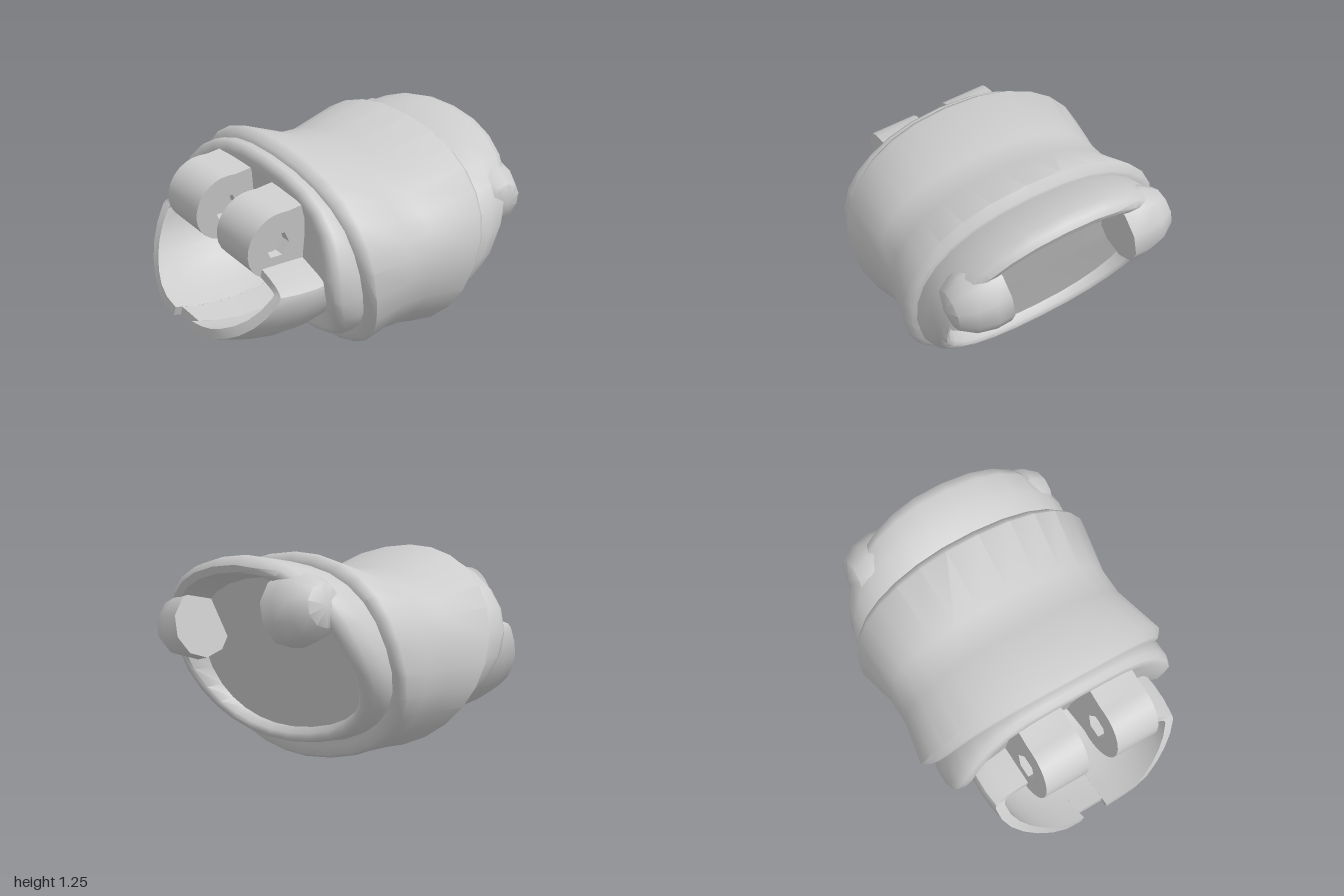
import * as THREE from 'three';
import { toCreasedNormals } from 'three/addons/utils/BufferGeometryUtils.js';

const material = new THREE.MeshStandardMaterial({ color: 0xcccccc, side: THREE.DoubleSide });

function addMesh(parent, name, geometry) {
  const mesh = new THREE.Mesh(geometry, material);
  mesh.name = name;
  parent.add(mesh);
  return mesh;
}

// Skin a row of closed loops and fan-cap both ends.
function loft(rings, crease) {
  const n = rings[0].length;
  const points = rings.flat();
  const index = [];
  for (let i = 0; i < rings.length - 1; i++) {
    for (let j = 0; j < n; j++) {
      const a = i * n + j, b = i * n + (j + 1) % n;
      index.push(a, a + n, b, b, a + n, b + n);
    }
  }
  [0, rings.length - 1].forEach((r, end) => {
    const centre = rings[r].reduce((s, p) => s.add(p), new THREE.Vector3()).divideScalar(n);
    const c = points.push(centre) - 1;
    for (let j = 0; j < n; j++) {
      const a = r * n + j, b = r * n + (j + 1) % n;
      if (end) index.push(c, b, a);
      else index.push(c, a, b);
    }
  });
  const g = new THREE.BufferGeometry().setFromPoints(points);
  g.setIndex(index);
  return toCreasedNormals(g, crease);
}

// Slanted oval ring: x at top and bottom, height above and below centre,
// half width, and how far the middle bows along x.
function ovalRing([xTop, xBottom, up, down, width, bow]) {
  const ring = [];
  for (let j = 0; j < 28; j++) {
    const a = j / 28 * Math.PI * 2;
    const round = v => Math.sign(v) * Math.pow(Math.abs(v), 0.89);
    const s = round(Math.sin(a)), c = round(Math.cos(a));
    ring.push(new THREE.Vector3(
      THREE.MathUtils.lerp(xBottom, xTop, (s + 1) / 2) + bow * (1 - s * s) ** 2,
      s * (s > 0 ? up : down), c * width));
  }
  return ring;
}

// Trough whose walls fold in over the top towards the lugs,
// with a slanted mouth and a shallow notch at its tip.
function troughGeometry() {
  const edge = Math.asin(0.17), fold = 0.95;
  const span = Math.PI / 2 + fold - edge;
  const angles = [];
  for (let i = 0; i <= 12; i++) angles.push([Math.PI + fold - i / 12 * span, 0]);
  angles.push([Math.PI / 2 + edge, 0.05], [Math.PI / 2 - edge, 0.05]);
  for (let i = 0; i <= 12; i++) angles.push([Math.PI / 2 - edge - i / 12 * span, 0]);
  const columns = angles.map(([a, notch]) => {
    const sin = Math.sin(a), cos = Math.cos(a);
    const ry = sin > 0 ? 0.5 : 0.08;
    const height = 0.03 - ry * sin - 0.06 * cos;
    const tip = -1 + 0.5 * Math.max(0, height + 0.4) + notch;
    const at = (s, thickness) => {
      const x = THREE.MathUtils.lerp(-0.25, tip, s);
      const r = 1 - 0.9 * (x + 0.62) ** 2;
      return new THREE.Vector3(x, 0.03 - (ry * r - thickness) * sin, (0.635 * r - thickness) * cos);
    };
    const steps = [0, 0.2, 0.4, 0.6, 0.8, 1];
    return [...steps.map(s => at(s, 0)), ...steps.reverse().map(s => at(s, 0.06))];
  });
  return loft(columns, 0.6);
}

// Hinge lug: round nose, flared tail running into the body, hexagonal socket.
function lugGeometry() {
  const shape = new THREE.Shape();
  shape.moveTo(0.3, 0.24);
  shape.lineTo(0.05, 0.2);
  shape.absarc(0, 0, 0.2, Math.PI / 2, Math.PI * 1.6, false);
  shape.lineTo(0.3, -0.24);
  shape.closePath();
  const hole = new THREE.Path();
  for (let i = 0; i < 6; i++) {
    const a = -i / 6 * Math.PI * 2;
    hole[i ? 'lineTo' : 'moveTo'](0.08 * Math.cos(a), 0.08 * Math.sin(a));
  }
  hole.closePath();
  shape.holes.push(hole);
  const g = new THREE.ExtrudeGeometry(shape, { depth: 0.29, curveSegments: 7, bevelEnabled: false });
  return toCreasedNormals(g.translate(0, 0, -0.145), 0.6);
}

export function createModel() {
  const model = new THREE.Group();
  model.name = 'model';
  const body = new THREE.Group();
  body.name = 'tiltedBody';
  body.position.y = 0.617;
  body.rotation.x = 0.175;
  model.add(body);

  // Narrow flange behind the lugs
  addMesh(body, 'hingeFlange', loft([
    [-0.52, -0.28, 0.42, 0.42, 0.60, -0.10],
    [-0.55, -0.30, 0.50, 0.47, 0.69, -0.13],
    [-0.54, -0.29, 0.54, 0.495, 0.745, -0.13],
    [-0.51, -0.26, 0.555, 0.505, 0.765, -0.12],
    [-0.44, -0.18, 0.55, 0.50, 0.765, -0.08],
    [-0.35, -0.10, 0.45, 0.48, 0.72, -0.02],
  ].map(ovalRing), 1));

  // Wide waisted band
  addMesh(body, 'mainBand', loft([
    [-0.47, -0.15, 0.54, 0.55, 0.74, -0.04],
    [-0.46, -0.14, 0.58, 0.59, 0.79, -0.04],
    [-0.40, -0.12, 0.61, 0.61, 0.825, -0.05],
    [-0.03, 0.00, 0.485, 0.605, 0.77, 0],
    [0.18, 0.15, 0.485, 0.605, 0.77, 0],
    [0.55, 0.27, 0.61, 0.61, 0.83, 0.03],
    [0.60, 0.30, 0.57, 0.59, 0.80, 0.03],
    [0.60, 0.30, 0.54, 0.54, 0.74, 0.03],
  ].map(ovalRing), 1));

  // Open collar with a recessed end plate
  addMesh(body, 'collar', loft([
    [0.50, 0.24, 0.50, 0.50, 0.74, 0.02],
    [0.60, 0.30, 0.55, 0.505, 0.765, 0.02],
    [0.75, 0.34, 0.585, 0.505, 0.775, 0.02],
    [0.89, 0.39, 0.61, 0.50, 0.755, 0.01],
    [0.95, 0.42, 0.595, 0.49, 0.725, 0],
    [0.97, 0.43, 0.56, 0.47, 0.69, 0],
    [0.95, 0.42, 0.52, 0.445, 0.665, 0],
    [0.74, 0.39, 0.48, 0.41, 0.64, 0],
    [0.725, 0.405, 0.44, 0.37, 0.59, 0],
  ].map(ovalRing), 0.9));

  // Trough under the lugs
  addMesh(body, 'trough', troughGeometry());

  const knobProfile = [[0, 0.38], [0.2, 0.38], [0.205, 0.47], [0.18, 0.58], [0.12, 0.67], [0, 0.7]]
    .map(p => new THREE.Vector2(...p));
  for (const side of [1, -1]) {
    const label = side > 0 ? 'front' : 'back';

    // Hinge lug with a sunken pin
    const lug = new THREE.Group();
    lug.name = label + 'Lug';
    lug.position.set(-0.68, 0.22, side * 0.245 - 0.01);
    addMesh(lug, label + 'LugBlock', lugGeometry());
    const pin = addMesh(lug, label + 'LugPin', new THREE.CylinderGeometry(0.08, 0.08, 0.18, 6));
    pin.rotation.x = Math.PI / 2;
    body.add(lug);

    // Rounded knob inside the collar mouth
    const knob = addMesh(body, label + 'Knob',
      toCreasedNormals(new THREE.LatheGeometry(knobProfile, 10), 0.75));
    knob.position.set(0.795, 0.265, 0);
    knob.rotation.x = side * Math.PI / 2;
  }
  return model;
}
